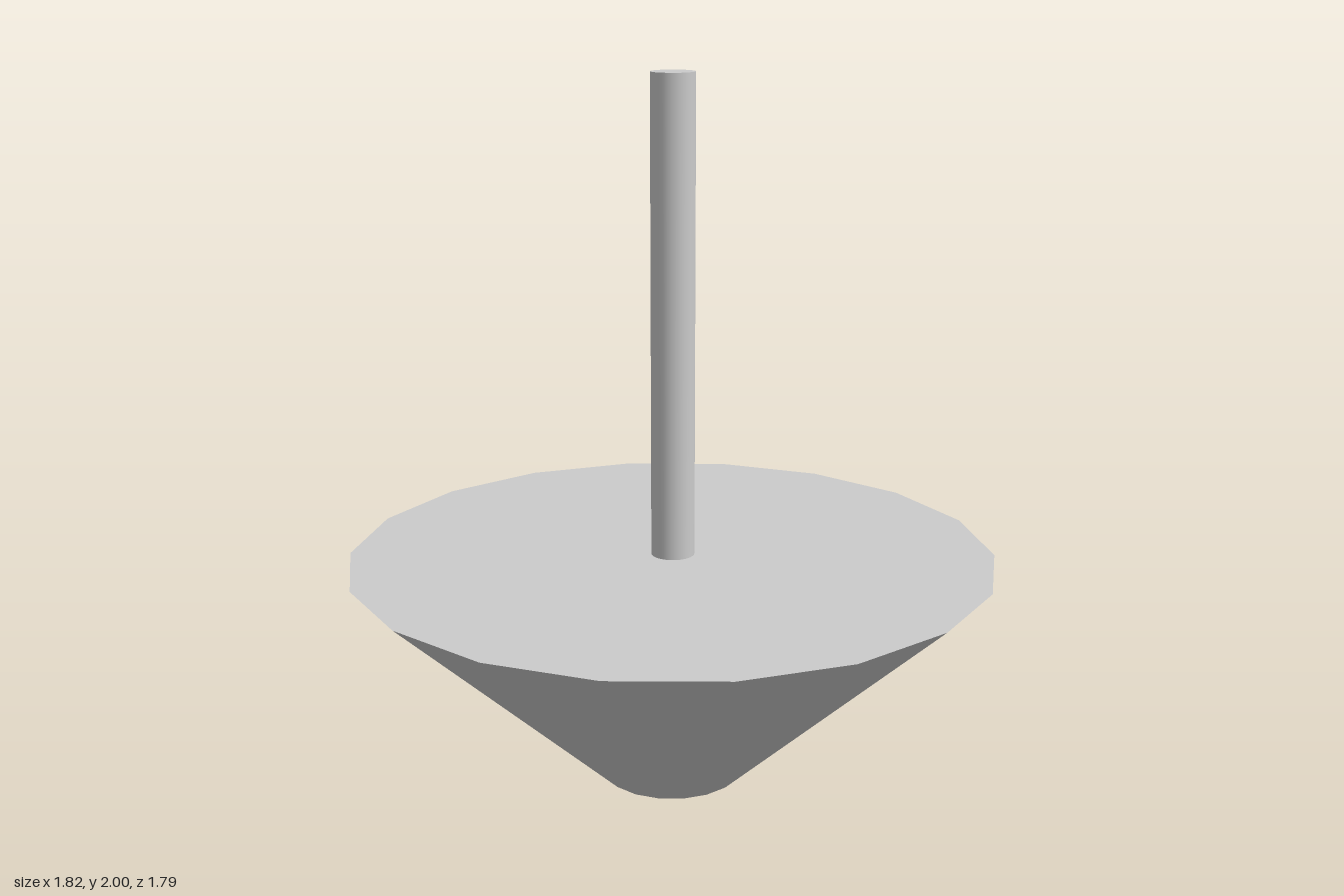
import * as THREE from 'three';

export function createModel() {
  const group = new THREE.Group();
  const material = new THREE.MeshStandardMaterial({ color: 0xcccccc });

  function addCylinder(name, rTop, rBottom, y0, y1, sides, x = 0, z = 0) {
    const geometry = new THREE.CylinderGeometry(rTop, rBottom, y1 - y0, sides);
    geometry.rotateY(Math.PI / 2); // a corner points along x
    const mesh = new THREE.Mesh(geometry, material);
    mesh.name = name;
    mesh.position.set(x, (y0 + y1) / 2, z);
    group.add(mesh);
  }

  // Flat-topped tapered body with an 18-sided rim
  addCylinder('taperedBody', 0.91, 0.2, 0, 0.66, 18);

  // Slim round stem, slightly off centre
  addCylinder('stem', 0.061, 0.061, 0.64, 2, 32, 0.006, -0.008);

  return group;
}
